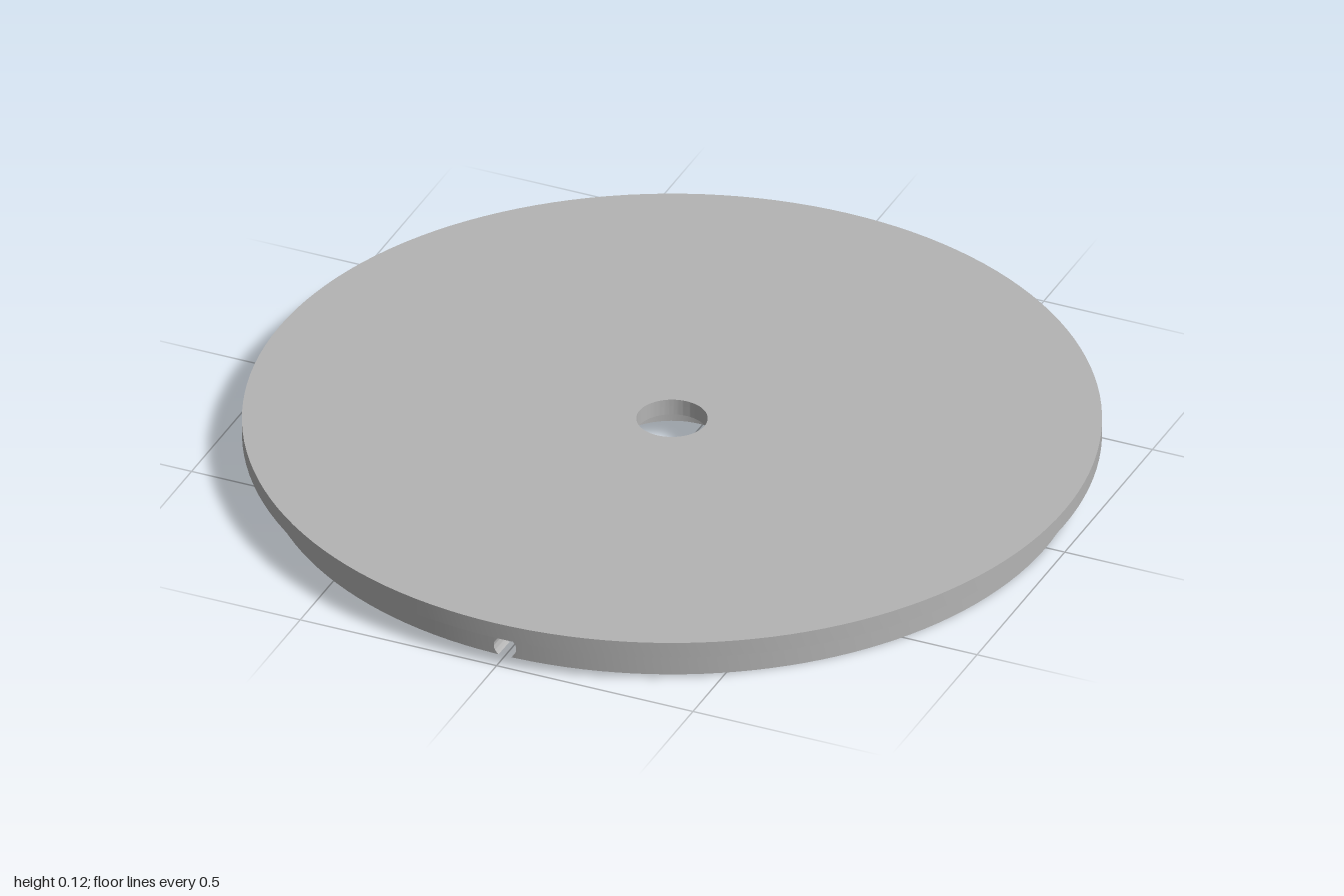
import * as THREE from 'three';
import { toCreasedNormals } from 'three/addons/utils/BufferGeometryUtils.js';

const PLATE_BOTTOM = 0.075, PLATE_TOP = 0.115;
const WALL_IN = 0.893, WALL_OUT = 0.952;
const NOTCH_HALF = 0.03; // half angle of each block that holds a notch

// Ring of rectangular section, full or part of a turn
function ring(rIn, rOut, y0, y1, segments, start = 0, length = Math.PI * 2) {
  const profile = [[rIn, y0], [rOut, y0], [rOut, y1], [rIn, y1], [rIn, y0]]
    .map(([r, y]) => new THREE.Vector2(r, y));
  return toCreasedNormals(new THREE.LatheGeometry(profile, segments, start, length), 0.5);
}

// Short piece of wall with a round hole that breaks through its lower edge
function notchedBlock() {
  const rMid = (WALL_IN + WALL_OUT) / 2, w = NOTCH_HALF * rMid;
  const holeR = 0.028, holeY = 0.023;
  const a = Math.asin(holeY / holeR);
  const shape = new THREE.Shape();
  shape.moveTo(-w, 0);
  shape.lineTo(-holeR * Math.cos(a), 0);
  shape.absarc(0, holeY, holeR, Math.PI + a, -a, true);
  shape.lineTo(w, 0);
  shape.lineTo(w, PLATE_BOTTOM);
  shape.lineTo(-w, PLATE_BOTTOM);
  shape.closePath();
  const geometry = new THREE.ExtrudeGeometry(shape, {
    depth: WALL_OUT - WALL_IN, bevelEnabled: false, curveSegments: 24,
  });
  // Bend the straight block round the wall
  const p = geometry.attributes.position;
  for (let i = 0; i < p.count; i++) {
    const angle = p.getX(i) / rMid, r = WALL_IN + p.getZ(i);
    p.setXYZ(i, r * Math.sin(angle), p.getY(i), r * Math.cos(angle));
  }
  return toCreasedNormals(geometry, 0.5);
}

export function createModel() {
  const model = new THREE.Group();
  model.name = 'flangedLid';
  const grey = new THREE.MeshStandardMaterial({ color: 0xb4b4b4 });
  grey.name = 'grey';

  function add(name, geometry, turn = 0) {
    const mesh = new THREE.Mesh(geometry, grey);
    mesh.name = name;
    mesh.rotation.y = turn;
    model.add(mesh);
  }

  // Top plate with centre hole, and the hub collar below it
  add('plate', ring(0.083, 1, PLATE_BOTTOM, PLATE_TOP, 144));
  add('hubCollar', ring(0.154, 0.2, 0.014, PLATE_BOTTOM, 72));

  // Locating wall: three arcs joined by three notched blocks
  const third = Math.PI * 2 / 3;
  const arc = ring(WALL_IN, WALL_OUT, 0, PLATE_BOTTOM, 48, NOTCH_HALF, third - 2 * NOTCH_HALF);
  const block = notchedBlock();
  for (let i = 0; i < 3; i++) {
    add('wallArc', arc, i * third);
    add('wallNotch', block, i * third);
  }
  return model;
}
